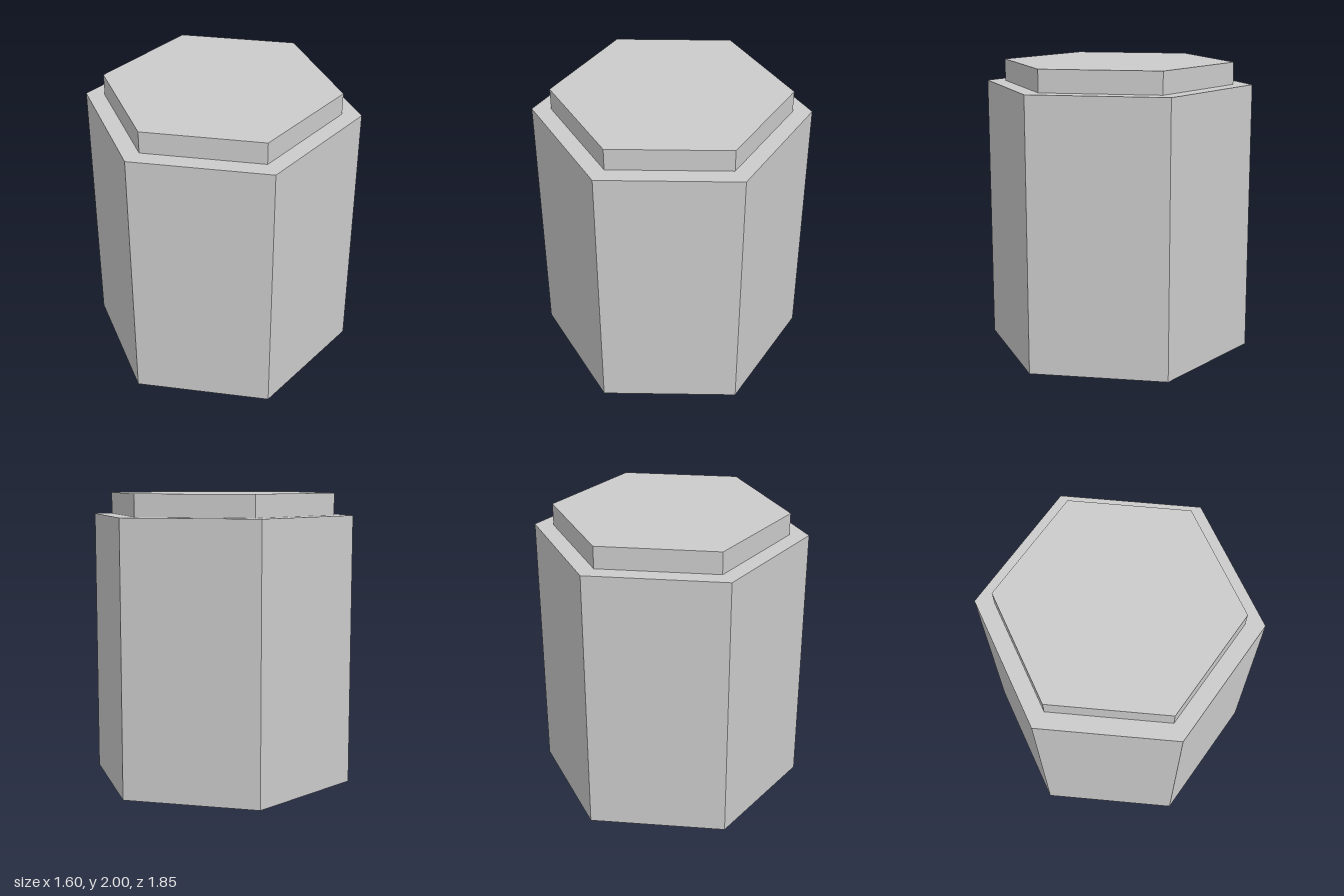
import * as THREE from 'three';

const material = new THREE.MeshStandardMaterial({ color: 0xcccccc, flatShading: true });

// Upright hexagonal prism with a corner facing the front
function hexPrism(name, radius, bottom, top) {
  const mesh = new THREE.Mesh(
    new THREE.CylinderGeometry(radius, radius, top - bottom, 6),
    material
  );
  mesh.name = name;
  mesh.position.y = (bottom + top) / 2;
  return mesh;
}

export function createModel() {
  const model = new THREE.Group();
  model.name = 'hexagonalColumn';
  model.add(
    hexPrism('body', 0.923, 0, 1.85), // main column
    hexPrism('cap', 0.795, 1.85, 2)   // smaller raised top
  );
  return model;
}
